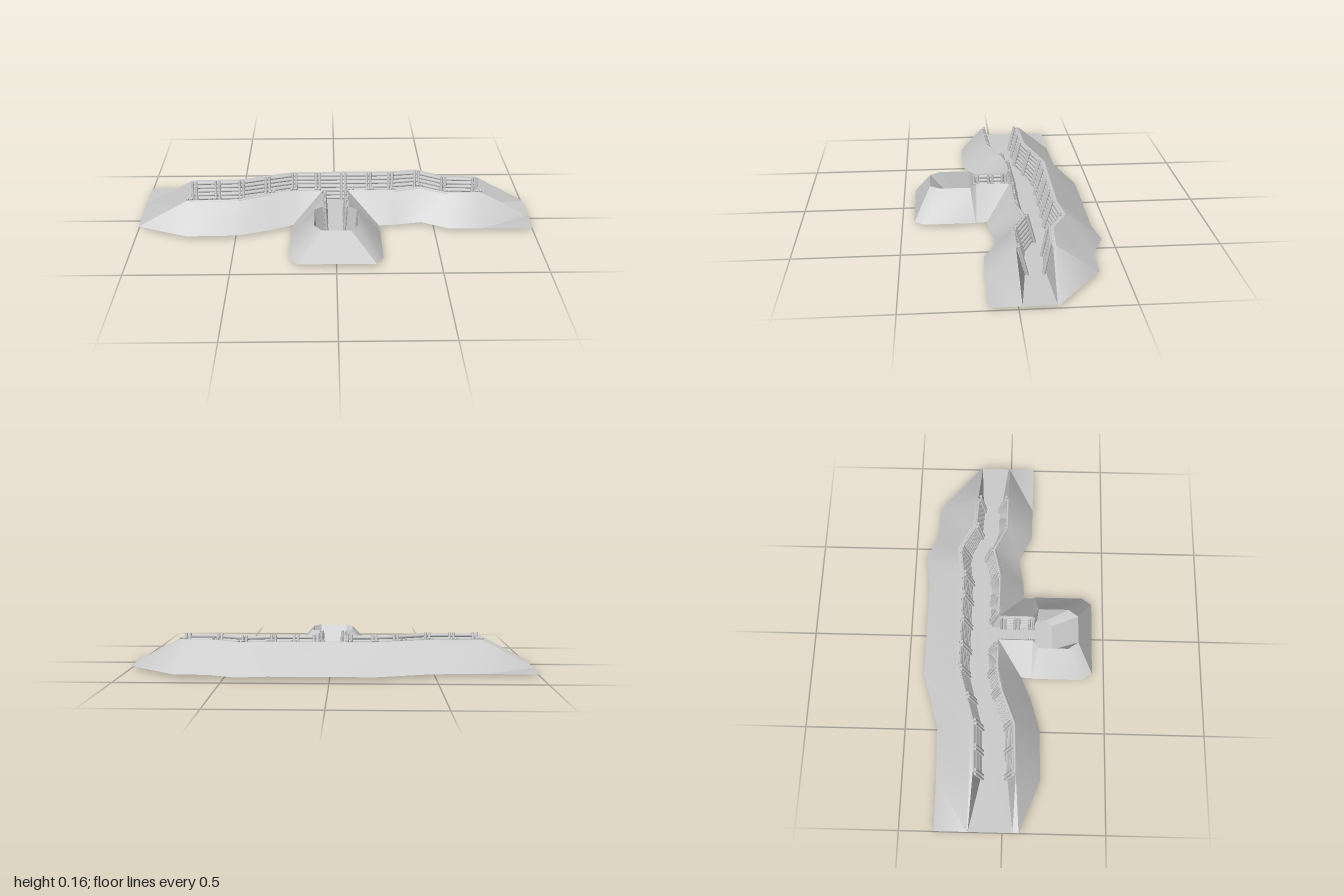
import * as THREE from 'three';
import { toCreasedNormals } from 'three/addons/utils/BufferGeometryUtils.js';

const GROUND = 0.015, TOP = 0.152;
const earth = new THREE.MeshStandardMaterial({ color: 0xcccccc, side: THREE.DoubleSide });
const wood = new THREE.MeshStandardMaterial({ color: 0xcccccc });
const V = (x, y, z) => new THREE.Vector3(x, y, z);

// Back bank stations: x, toe z, crest z, wall foot z
const back = [
  [-1, -0.33, -0.17, -0.165], [-0.745, -0.33, -0.16, -0.112], [-0.49, -0.34, -0.17, -0.12],
  [-0.215, -0.42, -0.25, -0.195], [0.295, -0.42, -0.25, -0.195], [0.438, -0.445, -0.27, -0.215],
  [0.572, -0.385, -0.195, -0.155], [0.742, -0.38, -0.185, -0.145], [1, -0.168, -0.165, -0.16],
];
// Front bank stations: toe x z, crest x z, wall foot x z
const bayHalf = [
  [-0.22, 0.085, -0.065, -0.04, -0.052, -0.08],
  [-0.22, 0.13, -0.065, 0.13, -0.052, 0.13],
  [-0.225, 0.14, -0.105, 0.16, -0.095, 0.155],
  [-0.225, 0.39, -0.105, 0.31, -0.095, 0.2],
  [-0.19, 0.44, -0.07, 0.36, -0.065, 0.235],
];
const straight = (x, toe, crest, foot) => [x, toe, x, crest, x, foot];
const front = [
  straight(-1, 0.08, 0.05, 0.045), straight(-0.745, 0.18, 0.06, 0.02),
  straight(-0.49, 0.175, 0.05, 0.01), straight(-0.325, 0.125, -0.015, -0.055),
  straight(-0.215, 0.075, -0.04, -0.08),
  ...bayHalf,
  ...bayHalf.map(p => p.map((v, i) => (i % 2 ? v : -v))).reverse(),
  straight(0.295, 0.08, -0.04, -0.08), straight(0.438, 0.055, -0.075, -0.115),
  straight(0.572, 0.12, -0.01, -0.05), straight(0.742, 0.122, -0.01, -0.05),
  straight(1, 0.125, -0.01, -0.015),
];
const crestY = x => (Math.abs(x) > 0.99 ? GROUND : TOP);

// Surface through parallel lines of points, sharp at strong creases
function loft(lines) {
  const pts = [], tri = new THREE.Triangle();
  const add = (a, b, c) => {
    if (tri.set(a, b, c).getArea() > 1e-8) pts.push(a, b, c);
  };
  for (let k = 0; k < lines.length - 1; k++) {
    for (let i = 0; i < lines[k].length - 1; i++) {
      const a = lines[k][i], b = lines[k][i + 1], c = lines[k + 1][i + 1], d = lines[k + 1][i];
      add(a, b, c);
      add(a, c, d);
    }
  }
  const g = new THREE.BufferGeometry().setFromPoints(pts);
  g.computeVertexNormals();
  return toCreasedNormals(g, 0.55);
}

function mesh(parent, name, geometry, material) {
  const m = new THREE.Mesh(geometry, material);
  m.name = name;
  parent.add(m);
  return m;
}

// Round timber from a to b
function timber(parent, name, a, b, radius) {
  const m = mesh(parent, name, new THREE.CylinderGeometry(radius, radius, a.distanceTo(b), 8), wood);
  m.position.copy(a).add(b).multiplyScalar(0.5);
  m.quaternion.setFromUnitVectors(V(0, 1, 0), b.clone().sub(a).normalize());
}

// Point on a line of points at a given x
function at(line, x) {
  let i = 0;
  while (i < line.length - 2 && line[i + 1].x < x) i++;
  const p = line[i], q = line[i + 1];
  return p.clone().lerp(q, (x - p.x) / (q.x - p.x));
}

// Stacked logs between stations, with a pair of posts at every station
function revetment(parent, name, feet, heads, inward) {
  const wall = new THREE.Group();
  wall.name = name;
  parent.add(wall);
  const rows = 7, last = feet.length - 1;
  for (let i = 0; i < last; i++) {
    for (let j = 0; j < rows; j++) {
      const t = (j + 0.5) / rows;
      timber(wall, 'wallLog', feet[i].clone().lerp(heads[i], t), feet[i + 1].clone().lerp(heads[i + 1], t), 0.0095);
    }
  }
  feet.forEach((foot, i) => {
    const along = feet[Math.min(i + 1, last)].clone().sub(feet[Math.max(i - 1, 0)]).normalize();
    for (const s of [-0.01, 0.01]) {
      const shift = along.clone().multiplyScalar(s).addScaledVector(inward, 0.012);
      const a = foot.clone().add(shift), b = heads[i].clone().add(shift);
      b.y += 0.006;
      a.y -= 0.005;
      timber(wall, 'wallPost', a, b, 0.007);
    }
  });
}

export function createModel() {
  const model = new THREE.Group();
  model.name = 'trench';

  // Earth banks
  const backFoot = back.map(p => V(p[0], GROUND, p[3]));
  const backHead = back.map(p => V(p[0], crestY(p[0]), Math.min(p[2] + 0.014, p[3])));
  const backCrest = back.map(p => V(p[0], crestY(p[0]), p[2]));
  const backToe = back.map(p => V(p[0], GROUND, p[1]));
  mesh(model, 'backBank', loft([backFoot, backHead, backCrest, backToe]), earth);

  const frontToe = front.map(p => V(p[0], GROUND, p[1]));
  const frontCrest = front.map(p => V(p[2], crestY(p[2]), p[3]));
  const frontFoot = front.map(p => V(p[4], GROUND, p[5]));
  mesh(model, 'frontBank', loft([frontToe, frontCrest, frontFoot]), earth);

  // Trench floor, running into the bay
  const outline = [...frontFoot, ...backFoot.slice().reverse()].map(p => new THREE.Vector2(p.x, -p.z));
  const floor = mesh(model, 'trenchFloor', new THREE.ShapeGeometry(new THREE.Shape(outline)), earth);
  floor.rotation.x = -Math.PI / 2;
  floor.position.y = GROUND;

  // Timber walls along the trench
  const run = (name, foot, head, xs, inward) =>
    revetment(model, name, xs.map(x => at(foot, x)), xs.map(x => at(head, x)), inward);
  run('backTimberWall', backFoot, backHead,
    [-0.735, -0.615, -0.49, -0.355, -0.215, -0.09, 0.045, 0.18, 0.295, 0.438, 0.572, 0.735], V(0, 0, 1));
  const rightCount = 5, leftStart = front.length - 6;
  run('frontRightTimberWall', frontFoot.slice(0, rightCount + 1), frontCrest.slice(0, rightCount + 1),
    [-0.735, -0.615, -0.49, -0.325, -0.215, -0.09], V(0, 0, -1));
  run('frontLeftTimberWall', frontFoot.slice(leftStart), frontCrest.slice(leftStart),
    [0.08, 0.18, 0.295, 0.438, 0.572, 0.735], V(0, 0, -1));

  // Timber walls of the passage to the bay
  for (const s of [-1, 1]) {
    const zs = [-0.02, 0.05, 0.125];
    revetment(model, s < 0 ? 'rightPassageWall' : 'leftPassageWall',
      zs.map(z => V(s * 0.055, 0.006, z)), zs.map(z => V(s * 0.065, TOP - 0.006, z)), V(-s, 0, 0));
  }

  // Settle the lowest posts on the ground
  const box = new THREE.Box3().setFromObject(model, true);
  model.children.forEach(c => { c.position.y -= box.min.y; });
  return model;
}
